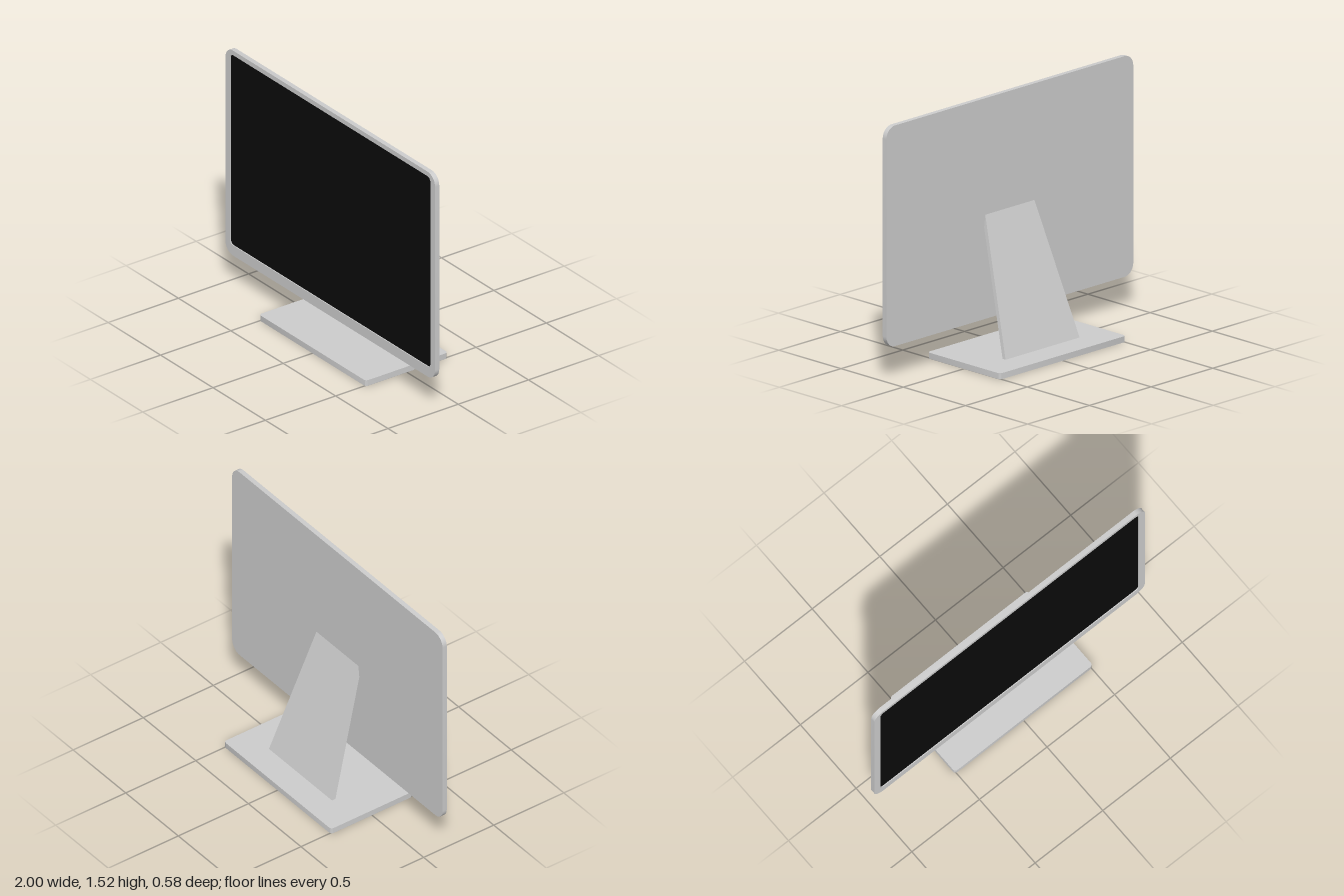
import * as THREE from 'three';
import { toCreasedNormals } from 'three/addons/utils/BufferGeometryUtils.js';

const grey = new THREE.MeshStandardMaterial({ color: 0xcccccc });
const black = new THREE.MeshStandardMaterial({ color: 0x0a0a0a });

// Rounded rectangle outline, centred on (0, cy)
function roundedRect(w, h, r, cy = 0, Type = THREE.Shape) {
  const s = new Type();
  const x = w / 2 - r, y = h / 2 - r;
  s.absarc(x, cy + y, r, 0, Math.PI / 2);
  s.absarc(-x, cy + y, r, Math.PI / 2, Math.PI);
  s.absarc(-x, cy - y, r, Math.PI, Math.PI * 1.5);
  s.absarc(x, cy - y, r, Math.PI * 1.5, Math.PI * 2);
  s.closePath();
  return s;
}

function slab(shape, depth) {
  const g = new THREE.ExtrudeGeometry(shape, { depth, bevelEnabled: false, curveSegments: 6 });
  return toCreasedNormals(g, 0.6);
}

function part(name, geometry, material = grey) {
  const m = new THREE.Mesh(geometry, material);
  m.name = name;
  return m;
}

export function createModel() {
  const model = new THREE.Group();
  model.name = 'monitor';

  // Display housing: back shell, and a bezel framing the recessed screen
  const cy = 0.86, w = 2, h = 1.32, r = 0.07;
  const sw = 1.91, sh = 1.225, sr = 0.028, scy = 0.878;
  const zBack = 0.135, zScreen = 0.159, zFront = 0.165;
  const shell = part('backShell', slab(roundedRect(w, h, r, cy), zScreen - zBack - 0.001));
  shell.position.z = zBack;

  const frame = roundedRect(w, h, r, cy);
  frame.holes.push(roundedRect(sw, sh, sr, scy, THREE.Path));
  const bezel = part('bezel', slab(frame, zFront - zScreen + 0.001));
  bezel.position.z = zScreen - 0.001;

  const screen = part('screen', new THREE.ShapeGeometry(roundedRect(sw, sh, sr, scy), 6), black);
  screen.position.z = zScreen;

  // Base plate
  const base = part('base', slab(roundedRect(1.02, 0.585, 0.02), 0.036).rotateX(-Math.PI / 2));

  // Leaning stand: side profile extruded across x, then narrowed towards the top
  const profile = new THREE.Shape([[0.112, 0.012], [0.136, 0.012], [-0.136, 0.826], [-0.136, 0.752]]
    .map(([z, y]) => new THREE.Vector2(z, y)));
  const standGeo = new THREE.ExtrudeGeometry(profile, { depth: 2, bevelEnabled: false });
  standGeo.translate(0, 0, -1).rotateY(Math.PI / 2);
  const p = standGeo.attributes.position;
  for (let i = 0; i < p.count; i++) {
    p.setX(i, p.getX(i) * (0.303 - 0.128 * (p.getY(i) - 0.012)));
  }
  standGeo.computeVertexNormals();

  model.add(shell, bezel, screen, base, part('stand', standGeo));
  return model;
}
